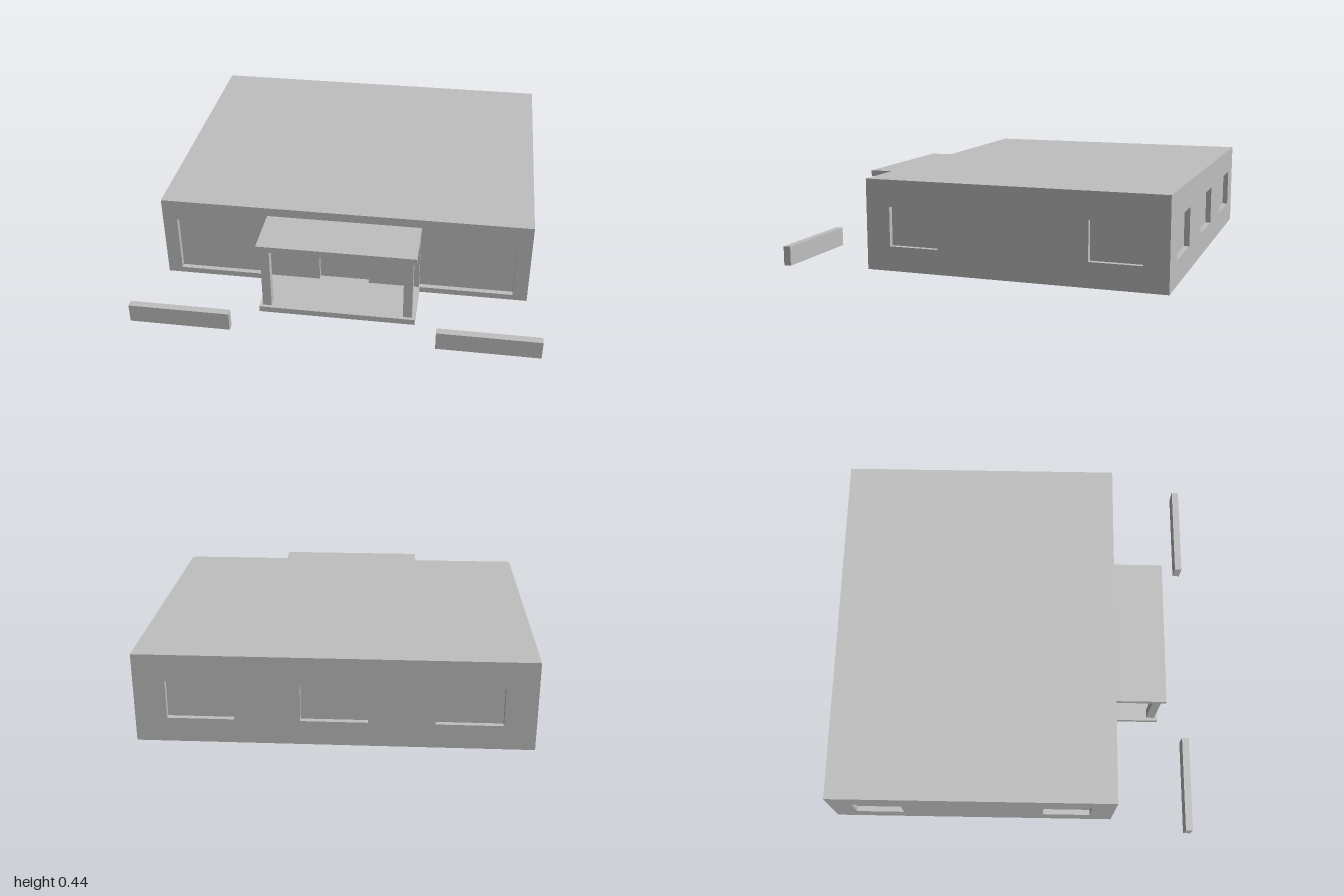
import * as THREE from 'three';

export function createModel() {
  const model = new THREE.Group();
  model.name = 'bungalow';
  const plaster = new THREE.MeshStandardMaterial({ color: 0xbfbfbf });
  plaster.name = 'plaster grey';

  const W = 1.865, H = 0.44, Z0 = -0.945, Z1 = 0.52; // house body
  const D = Z1 - Z0, ZC = (Z0 + Z1) / 2;
  const RECESS = 0.027;

  function add(parent, name, geometry, x = 0, y = 0, z = 0) {
    const mesh = new THREE.Mesh(geometry, plaster);
    mesh.name = name;
    mesh.position.set(x, y, z);
    parent.add(mesh);
    return mesh;
  }

  // Box given by its limits on each axis
  function block(parent, name, [x0, x1], [y0, y1], [z0, z1]) {
    const g = new THREE.BoxGeometry(x1 - x0, y1 - y0, z1 - z0);
    return add(parent, name, g, (x0 + x1) / 2, (y0 + y1) / 2, (z0 + z1) / 2);
  }

  // Box seen from the inside with its front removed: a recess in a wall
  function nicheGeometry(w, h) {
    const g = new THREE.BoxGeometry(w, h, RECESS);
    const index = Array.from(g.index.array);
    index.splice(24, 6);
    g.setIndex(index.reverse());
    g.clearGroups();
    const n = g.attributes.normal;
    for (let i = 0; i < n.count; i++) n.setXYZ(i, -n.getX(i), -n.getY(i), -n.getZ(i));
    return g;
  }

  // Wall facing local +z, with recessed openings [name, centre x, width, bottom, top]
  function wall(name, width, openings, x, z, turn) {
    const group = new THREE.Group();
    group.name = name;
    const shape = new THREE.Shape();
    shape.moveTo(-width / 2, 0).lineTo(width / 2, 0).lineTo(width / 2, H).lineTo(-width / 2, H).closePath();
    for (const [part, cx, w, y0, y1] of openings) {
      const hole = new THREE.Path();
      hole.moveTo(cx - w / 2, y0).lineTo(cx - w / 2, y1).lineTo(cx + w / 2, y1).lineTo(cx + w / 2, y0).closePath();
      shape.holes.push(hole);
      add(group, part, nicheGeometry(w, y1 - y0), cx, (y0 + y1) / 2, -RECESS / 2);
    }
    add(group, name + 'Surface', new THREE.ShapeGeometry(shape));
    group.position.set(x, 0, z);
    group.rotation.y = turn;
    model.add(group);
  }

  // Four walls with windows and door
  wall('frontWall', W, [
    ['frontWindow', -0.622, 0.474, 0.03, 0.33],
    ['door', 0, 0.254, 0.03, 0.32],
    ['frontWindow', 0.622, 0.474, 0.03, 0.33],
  ], 0, Z1, 0);
  wall('backWall', W, [-0.625, 0, 0.625].map(x => ['backWindow', x, 0.315, 0.12, 0.31]), 0, Z0, Math.PI);
  for (const side of [-1, 1]) {
    wall(side > 0 ? 'leftWall' : 'rightWall', D,
      [-0.489, 0.489].map(x => ['sideWindow', x, 0.247, 0.12, 0.31]),
      side * W / 2, ZC, side * Math.PI / 2);
  }

  // Flat roof and floor
  add(model, 'roof', new THREE.PlaneGeometry(W, D).rotateX(-Math.PI / 2), 0, H, ZC);
  add(model, 'floor', new THREE.PlaneGeometry(W, D).rotateX(Math.PI / 2), 0, 0, ZC);

  // Porch
  block(model, 'porchFloor', [-0.388, 0.388], [0, 0.03], [Z1, 0.785]);
  block(model, 'porchRoof', [-0.388, 0.388], [0.363, 0.395], [Z1, 0.785]);

  // Porch posts and low garden walls, mirrored
  for (const s of [-1, 1]) {
    const span = (a, b) => (s > 0 ? [a, b] : [-b, -a]);
    block(model, 'porchPost', span(0.328, 0.372), [0.03, 0.363], [0.724, 0.768]);
    block(model, 'gardenWall', span(0.5, 1), [0, 0.095], [0.908, 0.945]);
  }
  return model;
}
